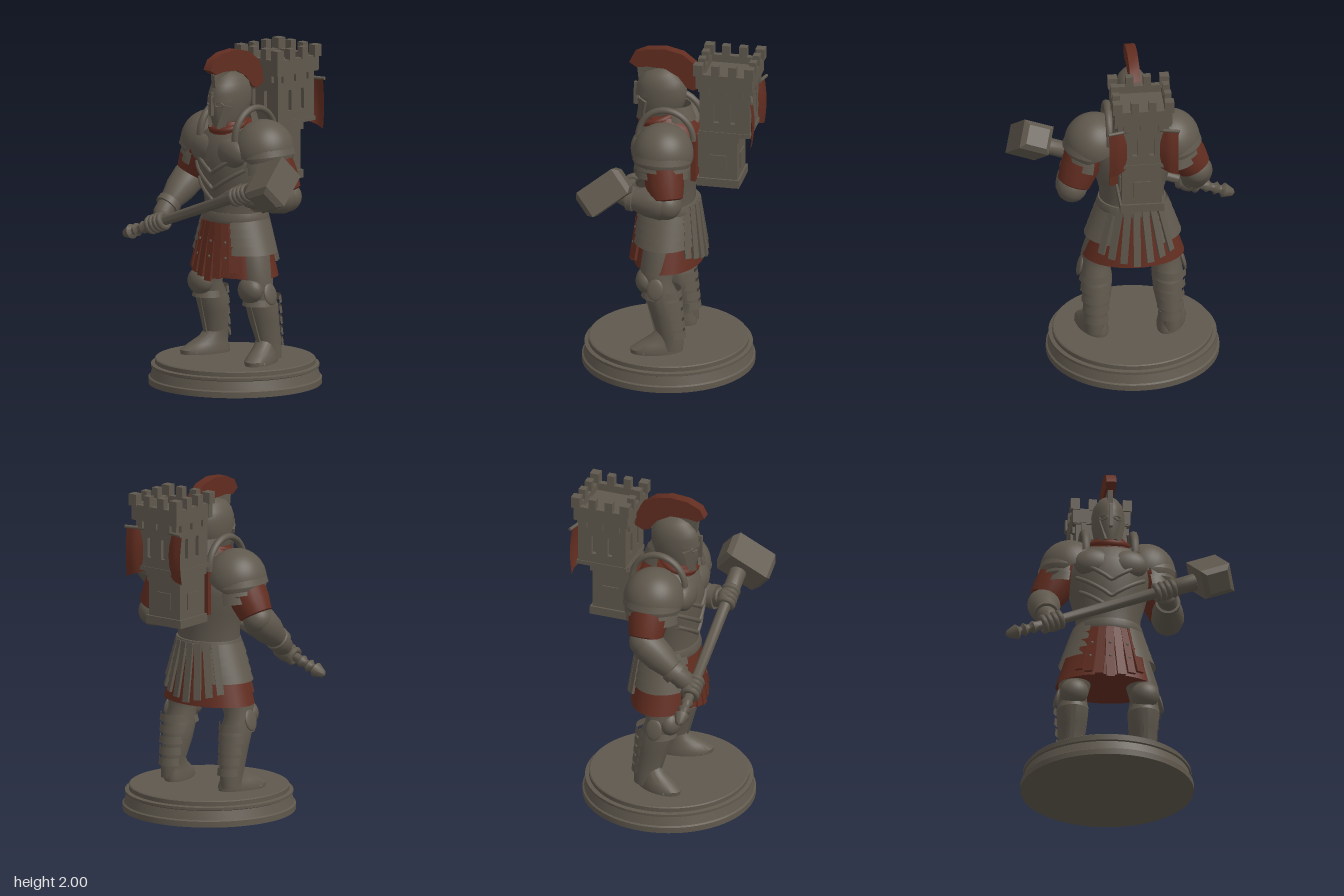
import * as THREE from 'three';
import { toCreasedNormals } from 'three/addons/utils/BufferGeometryUtils.js';

const V = (x, y, z) => new THREE.Vector3(x, y, z);
const steel = new THREE.MeshStandardMaterial({ color: 0x5f584d, side: THREE.DoubleSide });
steel.name = 'steel grey';
const cloth = new THREE.MeshStandardMaterial({ color: 0x622d20, side: THREE.DoubleSide });
cloth.name = 'rust red';
const C = -0.035; // body centre line in x

function add(parent, name, geo, mat, x = 0, y = 0, z = 0) {
  const m = new THREE.Mesh(geo, mat);
  m.name = name;
  m.position.set(x, y, z);
  parent.add(m);
  return m;
}
function group(parent, name) {
  const g = new THREE.Group();
  g.name = name;
  parent.add(g);
  return g;
}
const box = (p, name, w, h, d, x, y, z, mat = steel) => add(p, name, new THREE.BoxGeometry(w, h, d), mat, x, y, z);
function ball(p, name, rx, ry, rz, x, y, z, mat = steel) {
  const m = add(p, name, new THREE.SphereGeometry(1, 24, 16), mat, x, y, z);
  m.scale.set(rx, ry, rz);
  return m;
}
// Closed body from elliptical rings [y, rx, rz, cx, cz], listed upward
function loft(rings, seg = 32) {
  const pos = [], idx = [];
  for (const [y, rx, rz, cx = 0, cz = 0] of rings)
    for (let j = 0; j < seg; j++) {
      const a = (j / seg) * Math.PI * 2;
      pos.push(cx + rx * Math.cos(a), y, cz + rz * Math.sin(a));
    }
  const n = rings.length, f = rings[0], l = rings[n - 1], b0 = n * seg;
  pos.push(f[3] || 0, f[0], f[4] || 0, l[3] || 0, l[0], l[4] || 0);
  for (let j = 0; j < seg; j++) {
    const k = (j + 1) % seg;
    for (let i = 0; i < n - 1; i++) {
      const a = i * seg + j, b = i * seg + k, c = b + seg, d = a + seg;
      idx.push(a, d, b, b, d, c);
    }
    idx.push(b0, j, k, b0 + 1, (n - 1) * seg + k, (n - 1) * seg + j);
  }
  const g = new THREE.BufferGeometry();
  g.setAttribute('position', new THREE.Float32BufferAttribute(pos, 3));
  g.setIndex(idx);
  return toCreasedNormals(g, 0.8);
}
// Turned part from a to b, profile [radius, fraction of length]
function turned(p, name, a, b, prof, mat = steel) {
  const d = b.clone().sub(a), len = d.length();
  const geo = new THREE.LatheGeometry(prof.map(([r, t]) => new THREE.Vector2(r, t * len)), 20);
  const m = add(p, name, toCreasedNormals(geo, 0.7), mat, a.x, a.y, a.z);
  m.quaternion.setFromUnitVectors(V(0, 1, 0), d.normalize());
  return m;
}
// Thin strap between two points, facing outward
function strap(p, name, a, b, w, t, out, mat) {
  const y = a.clone().sub(b), len = y.length();
  y.normalize();
  const x = y.clone().cross(out).normalize(), z = x.clone().cross(y), mid = a.clone().add(b).multiplyScalar(0.5);
  const m = box(p, name, w, len, t, mid.x, mid.y, mid.z, mat);
  m.quaternion.setFromRotationMatrix(new THREE.Matrix4().makeBasis(x, y, z));
}
// Curved armour plate, part of a flared elliptical ring
function lame(p, name, rt, rb, h, depth, mid, half, x, y, z, mat = steel) {
  const m = add(p, name, new THREE.CylinderGeometry(rt, rb, h, 24, 1, true, mid - half, half * 2), mat, x, y, z);
  m.scale.z = depth;
  return m;
}

const TORSO = [[0.97, 0.19, 0.165], [1.1, 0.192, 0.165], [1.2, 0.22, 0.18], [1.33, 0.25, 0.195], [1.42, 0.25, 0.19], [1.5, 0.2, 0.16], [1.55, 0.12, 0.12]];
function chestZ(x, y) {
  let i = 0;
  while (i < TORSO.length - 2 && TORSO[i + 1][0] < y) i++;
  const [a, b] = [TORSO[i], TORSO[i + 1]], t = (y - a[0]) / (b[0] - a[0]);
  const rx = a[1] + (b[1] - a[1]) * t, rz = a[2] + (b[2] - a[2]) * t;
  return 0.02 + rz * Math.sqrt(Math.max(0, 1 - (x / rx) ** 2));
}
const skirtPoint = (a, y, off) => {
  const t = (1 - y) / 0.34;
  return V(C - 0.01 + (0.19 + 0.11 * t + off) * Math.sin(a), y, 0.01 + (0.165 + 0.04 * t + off) * Math.cos(a));
};

function buildBody(root) {
  const g = group(root, 'body');
  add(g, 'torso', loft(TORSO.map(([y, rx, rz]) => [y, rx, rz, C, 0.02])), steel);
  for (const s of [-1, 1]) ball(g, 'chestPlate', 0.12, 0.09, 0.06, C + s * 0.1, 1.4, 0.155);
  // chevron ridges across the breastplate
  for (const [y, w, drop] of [[1.4, 0.19, 0.12], [1.31, 0.2, 0.13], [1.22, 0.18, 0.12]]) {
    const pts = [];
    for (let i = -6; i <= 6; i++) {
      const x = (i / 6) * w, yy = y - drop * (1 - Math.abs(i) / 6);
      pts.push(V(C + x, yy, chestZ(x, yy) + 0.004));
    }
    add(g, 'chestRidge', new THREE.TubeGeometry(new THREE.CatmullRomCurve3(pts), 36, 0.013, 6), steel);
  }
  add(g, 'belt', loft([[0.98, 0.205, 0.18, C, 0.015], [1.0, 0.212, 0.187, C, 0.015], [1.04, 0.2, 0.175, C, 0.015]]), steel);
  add(g, 'neckCloth', loft([[1.47, 0.2, 0.175, C, 0], [1.53, 0.135, 0.16, C, 0.02], [1.58, 0.1, 0.12, C, 0.05]]), cloth);
  const collar = add(g, 'collar', new THREE.TorusGeometry(0.1, 0.022, 10, 32), cloth, C, 1.555, 0.075);
  collar.rotation.x = Math.PI / 2 + 0.25;
  box(g, 'backCloth', 0.3, 0.28, 0.03, C, 1.36, -0.165, cloth);
  // skirt and hanging straps
  add(g, 'skirt', loft([[0.66, 0.3, 0.205, C - 0.01, 0.01], [0.8, 0.255, 0.19, C - 0.01, 0.01], [1, 0.19, 0.165, C - 0.01, 0.01]]), cloth);
  for (let i = -3; i <= 3; i++) {
    const a = i * 0.21, out = V(Math.sin(a), 0.1, Math.cos(a)), low = 0.635 + Math.abs(i) * 0.02;
    strap(g, 'frontStrap', skirtPoint(a, 0.98, 0.01), skirtPoint(a, low, 0.018), 0.05, 0.016, out, cloth);
    for (const y of [0.78, 0.87]) {
      const q = skirtPoint(a, y, 0.022);
      if (i % 2 === 0) ball(g, 'stud', 0.009, 0.009, 0.006, q.x, q.y, q.z);
    }
    const b = Math.PI + i * 0.26, bo = V(Math.sin(b), 0.1, Math.cos(b));
    strap(g, 'backStrap', skirtPoint(b, 1.03, 0.015), skirtPoint(b, 0.68 + Math.abs(i) * 0.02, 0.02), 0.042, 0.016, bo, steel);
  }
  for (const s of [-1, 1])
    for (let i = 0; i < 4; i++) {
      const r = 0.205 + i * 0.018;
      lame(g, 'hipPlate', r, r + 0.028, 0.072, 0.83 - i * 0.035, s * Math.PI / 2, 1.02, C - 0.005, 0.99 - i * 0.052, 0.015);
    }
}

function buildHead(root) {
  const g = group(root, 'head'), x = C - 0.005;
  add(g, 'helmet', loft([[1.54, 0.06, 0.085, x, 0.09], [1.6, 0.083, 0.13, x, 0.065], [1.68, 0.094, 0.147, x, 0.055], [1.75, 0.097, 0.15, x, 0.055],
    [1.8, 0.086, 0.13, x, 0.055], [1.84, 0.06, 0.09, x, 0.055], [1.865, 0.015, 0.03, x, 0.055]]), steel);
  lame(g, 'neckGuard', 0.09, 0.11, 0.09, 1.55, Math.PI, 1.3, x, 1.6, 0.02);
  const brow = lame(g, 'brow', 0.1, 0.102, 0.03, 1.52, 0, 1.1, x, 1.72, 0.058);
  brow.rotation.x = 0.05;
  strap(g, 'noseGuard', V(x, 1.76, 0.208), V(x, 1.62, 0.212), 0.02, 0.025, V(0, 0, 1), steel);
  for (const s of [-1, 1]) {
    const eye = add(g, 'eyeRim', new THREE.TorusGeometry(0.024, 0.006, 8, 20), steel, x + s * 0.042, 1.685, 0.188);
    eye.scale.y = 0.55;
    eye.rotation.y = s * 0.5;
    strap(g, 'cheekGuard', V(x + s * 0.074, 1.68, 0.15), V(x + s * 0.04, 1.54, 0.175), 0.05, 0.02, V(s, 0, 0.7), steel);
  }
  // crest, drawn in side profile as [z, y]
  const arch = (name, pts, w, mat) => {
    const geo = new THREE.ExtrudeGeometry(new THREE.Shape(pts.map(p => new THREE.Vector2(...p))), { depth: w, bevelEnabled: false });
    geo.translate(0, 0, -w / 2).rotateY(-Math.PI / 2);
    add(g, name, toCreasedNormals(geo, 0.7), mat, x, 0, 0);
  };
  arch('crest', [[0.245, 1.895], [0.217, 1.95], [0.14, 1.985], [0.03, 1.995], [-0.075, 1.97], [-0.153, 1.91], [-0.185, 1.84], [-0.19, 1.77],
    [-0.138, 1.745], [-0.1, 1.76], [-0.05, 1.825], [0.03, 1.87], [0.138, 1.875], [0.2, 1.865]], 0.06, cloth);
  arch('crestRail', [[0.2, 1.86], [0.14, 1.89], [0.03, 1.885], [-0.05, 1.845], [-0.1, 1.775], [-0.08, 1.73], [0.05, 1.82], [0.19, 1.77]], 0.03, steel);
}

function buildArm(root, s, elbow, wrist, hand) {
  const g = group(root, s > 0 ? 'leftArm' : 'rightArm'), x = C + s * 0.22;
  const dome = add(g, 'shoulderGuard', new THREE.SphereGeometry(1, 32, 14, 0, Math.PI * 2, 0, Math.PI * 0.55), steel, x, 1.415, 0);
  dome.scale.set(0.18, 0.185, 0.18);
  dome.rotation.z = -s * 0.42;
  for (let i = 0; i < 3; i++) {
    const m = lame(g, 'shoulderLame', 0.15 - i * 0.008, 0.162 - i * 0.008, 0.07, 1.08, s * Math.PI / 2, 1.6, C + s * 0.245, 1.42 - i * 0.05, 0);
    m.rotation.z = s * 0.15;
  }
  const rim = add(g, 'neckFlange', new THREE.TorusGeometry(0.165, 0.018, 8, 28, Math.PI), steel, C + s * 0.145, 1.48, 0);
  rim.rotation.y = Math.PI / 2;
  rim.rotation.z = 0;
  rim.scale.set(1, 1.08, 1.3);
  turned(g, 'sleeve', V(C + s * 0.25, 1.44, 0), elbow, [[0.01, 0], [0.12, 0.05], [0.115, 0.6], [0.1, 0.9], [0.02, 1.05]], cloth);
  ball(g, 'elbowGuard', 0.09, 0.09, 0.09, elbow.x, elbow.y, elbow.z);
  turned(g, 'gauntlet', elbow, wrist, [[0.085, -0.05], [0.098, 0.12], [0.09, 0.5], [0.066, 0.85], [0.074, 0.87], [0.074, 1.02], [0.01, 1.03]]);
  turned(g, 'wrist', wrist, hand, [[0.058, -0.2], [0.06, 0.5], [0.02, 1]]);
  ball(g, 'palm', 0.068, 0.055, 0.052, hand.x, hand.y, hand.z - 0.012);
  const axis = V(1.11, 0.42, -0.05).normalize();
  for (let i = -1.5; i <= 1.5; i++) {
    const q = hand.clone().addScaledVector(axis, i * 0.034);
    const finger = add(g, 'finger', new THREE.TorusGeometry(0.04, 0.019, 8, 20), steel, q.x, q.y, q.z);
    finger.quaternion.setFromUnitVectors(V(0, 0, 1), axis);
  }
}

function buildLeg(root, s) {
  const g = group(root, s > 0 ? 'leftLeg' : 'rightLeg'), x = C + s * 0.21;
  add(g, 'leg', loft([[0.17, 0.062, 0.075, x + s * 0.015, -0.045], [0.25, 0.064, 0.078, x + s * 0.012, -0.045], [0.4, 0.085, 0.092, x, -0.012],
    [0.5, 0.094, 0.1, x, 0.01], [0.58, 0.082, 0.085, x, 0.035], [0.66, 0.095, 0.1, x - s * 0.01, 0.04], [0.85, 0.11, 0.11, x - s * 0.08, 0.02]]), steel);
  for (let i = 0; i < 5; i++) {
    const y = 0.27 + i * 0.065;
    lame(g, 'calfStrap', 0.075 + i * 0.006, 0.08 + i * 0.006, 0.045, 1.15, Math.PI, 1.2, x + s * 0.01, y, -0.045 + i * 0.013);
  }
  strap(g, 'shinRidge', V(x, 0.52, 0.108), V(x + s * 0.014, 0.25, 0.032), 0.025, 0.02, V(0, 0, 1), steel);
  ball(g, 'kneeCap', 0.085, 0.08, 0.065, x, 0.59, 0.1);
  lame(g, 'kneePlate', 0.088, 0.098, 0.04, 1.1, 0, 1.5, x, 0.515, 0.025);
  const wing = ball(g, 'kneeWing', 0.014, 0.065, 0.05, x + s * 0.095, 0.57, 0.03);
  wing.rotation.z = s * 0.25;
  // boot, turned slightly outward
  const boot = group(g, 'boot');
  boot.position.set(x + s * 0.025, 0, 0.035);
  boot.rotation.y = s * 0.35;
  add(boot, 'foot', loft([[0.148, 0.078, 0.155], [0.175, 0.08, 0.158], [0.21, 0.07, 0.125, 0, -0.02], [0.25, 0.06, 0.09, 0, -0.055], [0.29, 0.06, 0.075, 0, -0.075]]), steel);
  for (let i = 0; i < 3; i++) {
    const band = add(boot, 'footPlate', new THREE.TorusGeometry(0.07 - i * 0.004, 0.009, 6, 18, Math.PI), steel, 0, 0.155, 0.02 + i * 0.035);
    band.scale.y = 0.95 - i * 0.14;
    band.rotation.x = -0.35;
  }
}

function buildHammer(root) {
  const g = group(root, 'hammer'), a = V(-0.675, 0.838, 0.31), b = V(0.45, 1.263, 0.26);
  turned(g, 'shaft', a, b, [[0, 0], [0.022, 0.012], [0.045, 0.06], [0.025, 0.075], [0.025, 0.085], [0.04, 0.1], [0.025, 0.115], [0.025, 0.13], [0.038, 0.145],
    [0.028, 0.165], [0.032, 0.5], [0.034, 0.88], [0.05, 0.9], [0.05, 1.0], [0, 1.02]]);
  const bev = 0.028, w = 0.092 - bev, h = 0.087 - bev, L = 0.305;
  const sq = new THREE.Shape([[-w, -h], [w, -h], [w, h], [-w, h]].map(p => new THREE.Vector2(...p)));
  const geo = new THREE.ExtrudeGeometry(sq, { depth: L - 2 * bev, bevelSize: bev, bevelThickness: bev, bevelSegments: 1 });
  geo.translate(0, 0, -(L - 2 * bev) / 2);
  const head = add(g, 'hammerHead', geo, steel, 0.54, 1.293, 0.278);
  const X = b.clone().sub(a).normalize(), Y = V(0.22, -0.585, 0.78).cross(X).normalize();
  head.quaternion.setFromRotationMatrix(new THREE.Matrix4().makeBasis(X, Y, X.clone().cross(Y)));
}

function buildTower(root) {
  const g = group(root, 'backTower'), x = -0.05;
  box(g, 'lowerTower', 0.235, 0.34, 0.23, x, 1.36, -0.305);
  box(g, 'lowerRim', 0.26, 0.05, 0.255, x, 1.205, -0.305);
  box(g, 'underside', 0.17, 0.006, 0.17, x, 1.178, -0.305, cloth);
  box(g, 'lowerBand', 0.255, 0.04, 0.25, x, 1.49, -0.308);
  box(g, 'sidePlate', 0.25, 0.1, 0.1, x, 1.33, -0.305);
  box(g, 'rearPlate', 0.1, 0.1, 0.246, x, 1.33, -0.305);
  box(g, 'mount', 0.18, 0.2, 0.06, x, 1.38, -0.17);
  const top = group(g, 'upperTower');
  top.position.set(x, 0, -0.35);
  box(top, 'core', 0.25, 0.3, 0.25, 0, 1.67, 0);
  box(top, 'floor', 0.33, 0.05, 0.33, 0, 1.84, 0);
  box(top, 'ledge', 0.31, 0.025, 0.31, 0, 1.53, 0);
  for (let k = 0; k < 4; k++) {
    const side = group(top, 'towerSide');
    side.rotation.y = k * Math.PI / 2;
    const wall = new THREE.Shape([[-0.15, 1.52], [0.15, 1.52], [0.15, 1.82], [-0.15, 1.82]].map(p => new THREE.Vector2(...p)));
    for (const u of [-0.05, 0.05]) {
      const slot = new THREE.Path();
      slot.moveTo(u - 0.014, 1.6).lineTo(u + 0.014, 1.6).lineTo(u + 0.014, 1.71).absarc(u, 1.71, 0.014, 0, Math.PI, false);
      slot.lineTo(u - 0.014, 1.6);
      wall.holes.push(slot);
    }
    add(side, 'slottedWall', new THREE.ExtrudeGeometry(wall, { depth: 0.026, bevelEnabled: false, curveSegments: 6 }), steel, 0, 0, 0.124);
    box(side, 'parapet', 0.34, 0.09, 0.035, 0, 1.865, 0.152);
    for (let i = 0; i < 3; i++) {
      const u = -0.155 + i * 0.103;
      box(side, 'merlon', i ? 0.046 : 0.055, 0.07, i ? 0.042 : 0.055, u, 1.937, i ? 0.153 : 0.152);
      box(side, 'corbel', 0.03, 0.05, 0.03, u + 0.05, 1.8, 0.152);
    }
  }
  // banners hanging at the two rear corners
  for (const s of [-1, 1]) {
    const geo = new THREE.PlaneGeometry(0.11, 0.28, 6, 8), p = geo.attributes.position;
    for (let i = 0; i < p.count; i++) {
      const t = 0.5 - p.getY(i) / 0.28, u = p.getX(i);
      p.setZ(i, -0.015 * Math.sin(t * 3) - 0.008 * Math.cos(u * 50));
      p.setY(i, p.getY(i) - s * u * 0.35 * t);
    }
    geo.computeVertexNormals();
    const flag = add(g, 'banner', geo, cloth, x + s * 0.152, 1.63, -0.508);
    flag.rotation.y = s * 0.25;
    const pole = add(g, 'bannerPole', new THREE.CylinderGeometry(0.01, 0.01, 0.125, 10), steel, x + s * 0.15, 1.77, -0.512);
    pole.rotation.set(0, s * 0.25, Math.PI / 2);
  }
}

export function createModel() {
  const root = new THREE.Group();
  root.name = 'armouredGiant';
  const prof = [[0, 0], [0.51, 0], [0.51, 0.035], [0.5, 0.042], [0.485, 0.095], [0.495, 0.1], [0.495, 0.115], [0.472, 0.12], [0.472, 0.145], [0.465, 0.15], [0, 0.15]];
  add(root, 'base', toCreasedNormals(new THREE.LatheGeometry(prof.map(p => new THREE.Vector2(...p)), 72), 0.5), steel, -0.04, 0, 0.014);
  buildBody(root);
  buildHead(root);
  buildArm(root, 1, V(0.325, 1.15, -0.05), V(0.3, 1.16, 0.18), V(0.27, 1.195, 0.268));
  buildArm(root, -1, V(-0.415, 1.2, 0.0), V(-0.42, 1.03, 0.2), V(-0.4, 0.942, 0.298));
  for (const s of [-1, 1]) buildLeg(root, s);
  buildHammer(root);
  buildTower(root);
  return root;
}
